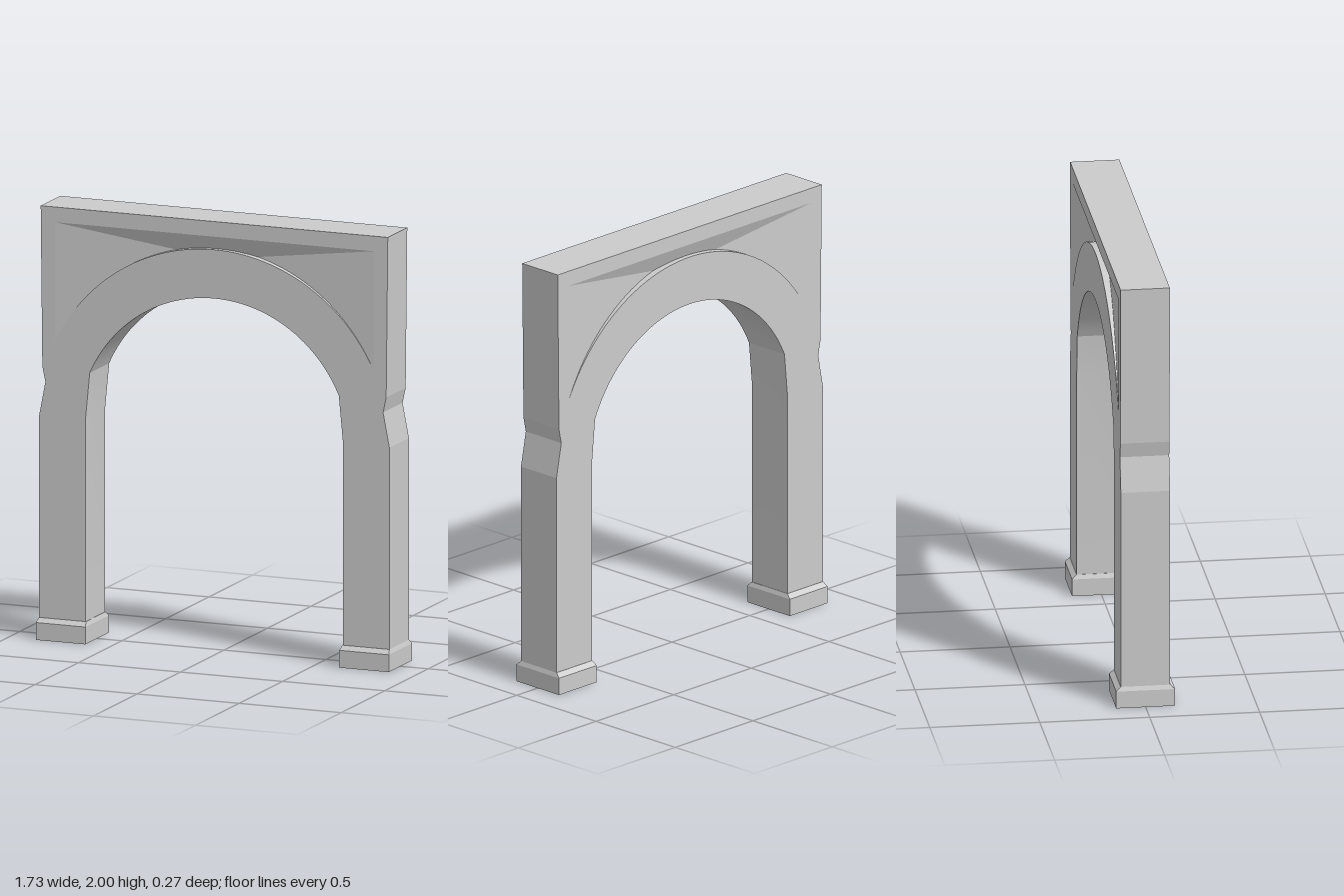
import * as THREE from 'three';
import { toCreasedNormals } from 'three/addons/utils/BufferGeometryUtils.js';

const Z = 0.112;               // half thickness of the gateway
const RECESS = 0.035;          // deepest point of the spandrel panel
const CORNER = [0.78, 1.93];   // upper corner of the spandrel panel
const SEG = 48;
const material = new THREE.MeshStandardMaterial({ color: 0xcccccc });

// Points of a circular arc, left to right over its crown
function arc(radius, cy, endX) {
  const end = Math.asin(endX / radius);
  return Array.from({ length: SEG + 1 }, (_, i) => {
    const a = end * (2 * i / SEG - 1);
    return [radius * Math.sin(a), cy + radius * Math.cos(a)];
  });
}

const mirror = (pts) => pts.map(([x, y]) => [-x, y]).reverse();
const toVec = (pts) => pts.map(([x, y]) => new THREE.Vector2(x, y));

function fromTriangles(tris) {
  const g = new THREE.BufferGeometry();
  g.setAttribute('position', new THREE.Float32BufferAttribute(tris.flat(2), 3));
  g.computeVertexNormals();
  return g;
}

// Wall along a path, facing the left of its direction
function wall(path, front, back) {
  const tris = [];
  for (let i = 0; i + 1 < path.length; i++) {
    const p = path[i], q = path[i + 1];
    const a = [...p, front(p)], b = [...q, front(q)];
    const c = [...q, back(q)], d = [...p, back(p)];
    tris.push([a, b, c], [a, c, d]);
  }
  return toCreasedNormals(fromTriangles(tris), 0.15);
}

function addMesh(parent, geometry, name) {
  const mesh = new THREE.Mesh(geometry, material);
  mesh.name = name;
  parent.add(mesh);
  return mesh;
}

export function createModel() {
  const model = new THREE.Group();
  model.name = 'archway';

  const intrados = arc(0.668, 0.977, 0.61);
  const extrados = arc(0.866, 1.004, 0.78);

  // Clockwise outline: left side, top, right side, then the opening
  const rightSide = [[0.85, 2], [0.842, 1.26], [0.827, 1.19], [0.858, 1.03], [0.858, 0.09]];
  const rightJamb = [[0.63, 0.09], [0.63, 1.04]];
  const outline = [...mirror(rightSide), ...rightSide, ...rightJamb,
    ...intrados.slice().reverse(), ...mirror(rightJamb)];
  addMesh(model, wall([...outline, outline[0]], () => Z, () => -Z), 'sidesAndSoffit');

  // Face with an opening for the sunken spandrel panel
  const face = new THREE.Shape(toVec(outline));
  face.holes.push(new THREE.Path(toVec([...extrados, CORNER, [-CORNER[0], CORNER[1]]])));
  const faceGeometry = new THREE.ShapeGeometry(face);

  // Panel planes slope inwards from the top and side edges of the frame
  const kink = extrados[SEG / 2 + 5];
  const panelZ = ([x, y]) => Z - RECESS * Math.max(0, Math.min(
    (CORNER[0] - Math.abs(x)) / (CORNER[0] - kink[0]),
    (CORNER[1] - y) / (CORNER[1] - kink[1])));
  const at = (p) => [...p, panelZ(p)];
  const right = [...CORNER, Z], left = [-CORNER[0], CORNER[1], Z];
  const panel = [[at(extrados[SEG / 2]), right, left]];
  for (let i = 0; i < SEG; i++) {
    panel.push([at(extrados[i]), at(extrados[i + 1]), i < SEG / 2 ? left : right]);
  }
  const panelGeometry = fromTriangles(panel);
  const archEdge = wall(extrados, () => Z, panelZ);

  // Front and back are alike
  for (const side of ['front', 'back']) {
    const group = new THREE.Group();
    group.name = side + 'Facade';
    const surface = addMesh(group, faceGeometry, side + 'Face');
    surface.position.z = Z;
    addMesh(group, panelGeometry, side + 'SpandrelPanel');
    addMesh(group, archEdge, side + 'ArchEdge');
    if (side === 'back') group.rotation.y = Math.PI;
    model.add(group);
  }

  // Plinths with a chamfered upper edge
  let plinth = new THREE.BoxGeometry(0.243, 0.1, 0.268, 1, 2, 1);
  const pos = plinth.attributes.position;
  for (let i = 0; i < pos.count; i++) {
    const y = pos.getY(i);
    if (y > 0.01) {
      pos.setX(i, Math.sign(pos.getX(i)) * 0.115);
      pos.setZ(i, Math.sign(pos.getZ(i)) * 0.113);
    }
    pos.setY(i, y < -0.01 ? 0 : y > 0.01 ? 0.1 : 0.08);
  }
  plinth = plinth.toNonIndexed();
  plinth.computeVertexNormals();
  for (const s of [1, -1]) {
    addMesh(model, plinth, s > 0 ? 'leftPlinth' : 'rightPlinth').position.x = s * 0.743;
  }

  return model;
}
